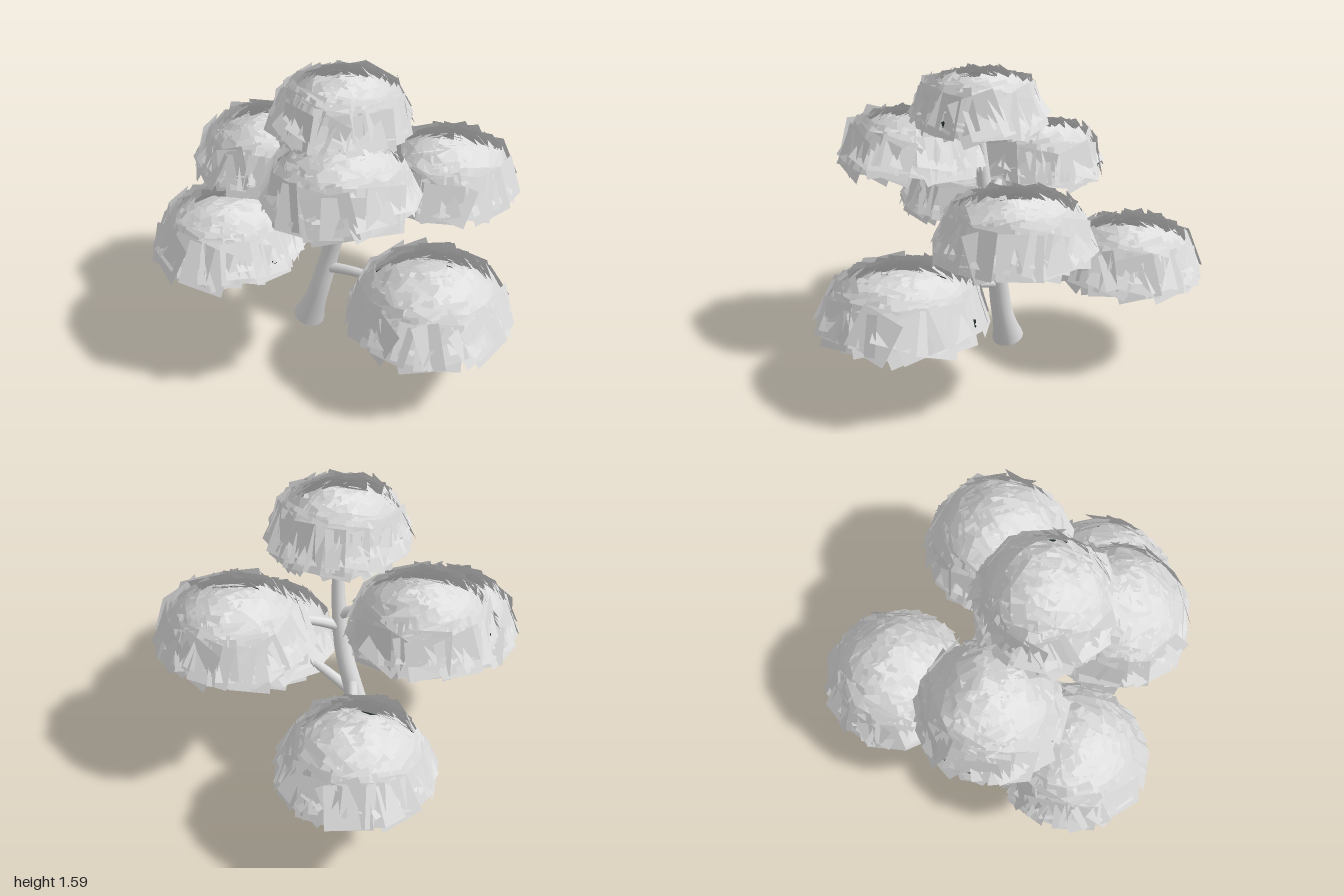
import * as THREE from 'three';
import { mergeGeometries } from 'three/addons/utils/BufferGeometryUtils.js';

const V = (x, y, z) => new THREE.Vector3(x, y, z);

// Small seeded random generator
function seeded(seed) {
  let s = seed;
  return () => {
    s = (s * 16807) % 2147483647;
    return s / 2147483647;
  };
}

// Tube along a curve whose radius follows a rule of t
function taperedTube(curve, radiusAt, segments, sides) {
  const geo = new THREE.TubeGeometry(curve, segments, 1, sides, false);
  const pos = geo.attributes.position;
  const v = V(0, 0, 0);
  for (let i = 0; i < pos.count; i++) {
    const t = Math.floor(i / (sides + 1)) / segments;
    const c = curve.getPointAt(t);
    v.fromBufferAttribute(pos, i).sub(c).multiplyScalar(radiusAt(t)).add(c);
    pos.setXYZ(i, v.x, v.y, v.z);
  }
  return geo;
}

// Flattened dome of large square leaf cards, each tilted as on a full hemisphere
function leafCards(a, h, rand) {
  const count = 170;
  const maxTilt = 1.27;
  const cards = [];
  for (let i = 0; i < count; i++) {
    const k = (i + 0.5) / count;
    const tilt = Math.acos(1 - k * (1 - Math.cos(maxTilt)));
    const turn = i * 2.39996 + (rand() - 0.5) * 0.3;
    const n = V(Math.sin(tilt) * Math.cos(turn), Math.cos(tilt), Math.sin(tilt) * Math.sin(turn));
    const centre = n.clone().multiply(V(a, h, a)).multiplyScalar(0.96 + rand() * 0.06);
    const side = V(Math.sin(turn), 0, -Math.cos(turn));
    const up = n.clone().cross(side);
    const size = 0.15 + 0.07 * k + (rand() - 0.5) * 0.03;
    const card = new THREE.PlaneGeometry(size, size);
    card.rotateZ((rand() - 0.5) * (k > 0.5 ? 0.8 : 3));
    card.rotateX((rand() - 0.5) * 0.3);
    card.rotateY((rand() - 0.5) * 0.3);
    card.applyMatrix4(new THREE.Matrix4().makeBasis(side, up, n).setPosition(centre));
    cards.push(card);
  }
  return mergeGeometries(cards);
}

// Solid flattened dome with a slightly bulging underside
function domeCore(a, h) {
  const profile = [];
  for (let i = 0; i <= 16; i++) {
    const t = (i / 16 - 0.5) * Math.PI;
    profile.push(new THREE.Vector2(a * Math.cos(t), Math.sin(t) * (t < 0 ? 0.025 : h)));
  }
  return new THREE.LatheGeometry(profile, 32);
}

export function createModel() {
  const tree = new THREE.Group();
  tree.name = 'tree';

  const bark = new THREE.MeshStandardMaterial({ color: 0xe2e2e2 });
  bark.name = 'bark';
  const leaf = new THREE.MeshStandardMaterial({ color: 0xdedede, side: THREE.DoubleSide });
  leaf.name = 'leaf';
  const shade = new THREE.MeshStandardMaterial({ color: 0x242e27 });
  shade.name = 'dark foliage core';

  const add = (parent, name, geo, mat) => {
    const mesh = new THREE.Mesh(geo, mat);
    mesh.name = name;
    parent.add(mesh);
    return mesh;
  };

  // Leaning trunk with a flared foot
  const trunkCurve = new THREE.CatmullRomCurve3([
    V(-0.26, 0.03, 0.05), V(-0.19, 0.25, 0.035), V(-0.13, 0.5, 0.01),
    V(-0.08, 0.7, 0), V(-0.04, 1, 0.01), V(-0.02, 1.37, 0.04),
  ]);
  const trunkRadius = (t) => 0.064 - 0.04 * t + 0.024 * Math.pow(Math.max(0, 1 - t * 7), 2);
  add(tree, 'trunk', taperedTube(trunkCurve, trunkRadius, 28, 16), bark);
  const foot = add(tree, 'trunkFoot', new THREE.CircleGeometry(trunkRadius(0), 16), bark);
  foot.position.copy(trunkCurve.getPointAt(0));
  foot.quaternion.setFromUnitVectors(V(0, 0, 1), trunkCurve.getTangentAt(0).negate());

  // Foliage pads: underside centre, outer radius, height, branch start along the trunk
  const pads = [
    { name: 'lowerLeft', at: V(0.54, 0.46, 0), r: 0.455, h: 0.17, from: 0.28 },
    { name: 'lowerBackRight', at: V(-0.59, 0.56, -0.51), r: 0.41, h: 0.16, from: 0.34 },
    { name: 'frontRight', at: V(-0.38, 0.73, 0.5), r: 0.405, h: 0.155, from: 0.47 },
    { name: 'backLeft', at: V(0.24, 0.91, -0.47), r: 0.41, h: 0.16, from: 0.6 },
    { name: 'middleRight', at: V(-0.51, 1.0, 0.09), r: 0.395, h: 0.165, from: 0.65 },
    { name: 'upperFrontLeft', at: V(0.2, 1.16, 0.29), r: 0.4, h: 0.17, from: 0.77 },
    { name: 'crown', at: V(-0.02, 1.37, 0.04), r: 0.37, h: 0.17, from: null },
  ];

  pads.forEach((pad, i) => {
    const rand = seeded(1234 + i * 977);
    const group = new THREE.Group();
    group.name = pad.name + 'Foliage';
    group.position.copy(pad.at);
    add(group, 'leaves', leafCards(pad.r - 0.045, pad.h, rand), leaf);
    add(group, 'core', domeCore(pad.r * 0.87, pad.h - 0.025), shade);
    tree.add(group);

    // Branch rising quickly from the trunk and running inside the pad
    if (pad.from !== null) {
      const start = trunkCurve.getPointAt(pad.from);
      const end = pad.at.clone().add(V(0, 0.05, 0));
      const mid = start.clone().lerp(end, 0.4);
      mid.y = end.y;
      const curve = new THREE.QuadraticBezierCurve3(start, mid, end);
      add(tree, pad.name + 'Branch', taperedTube(curve, (t) => 0.03 - 0.014 * t, 10, 8), bark);
    }
  });

  return tree;
}
